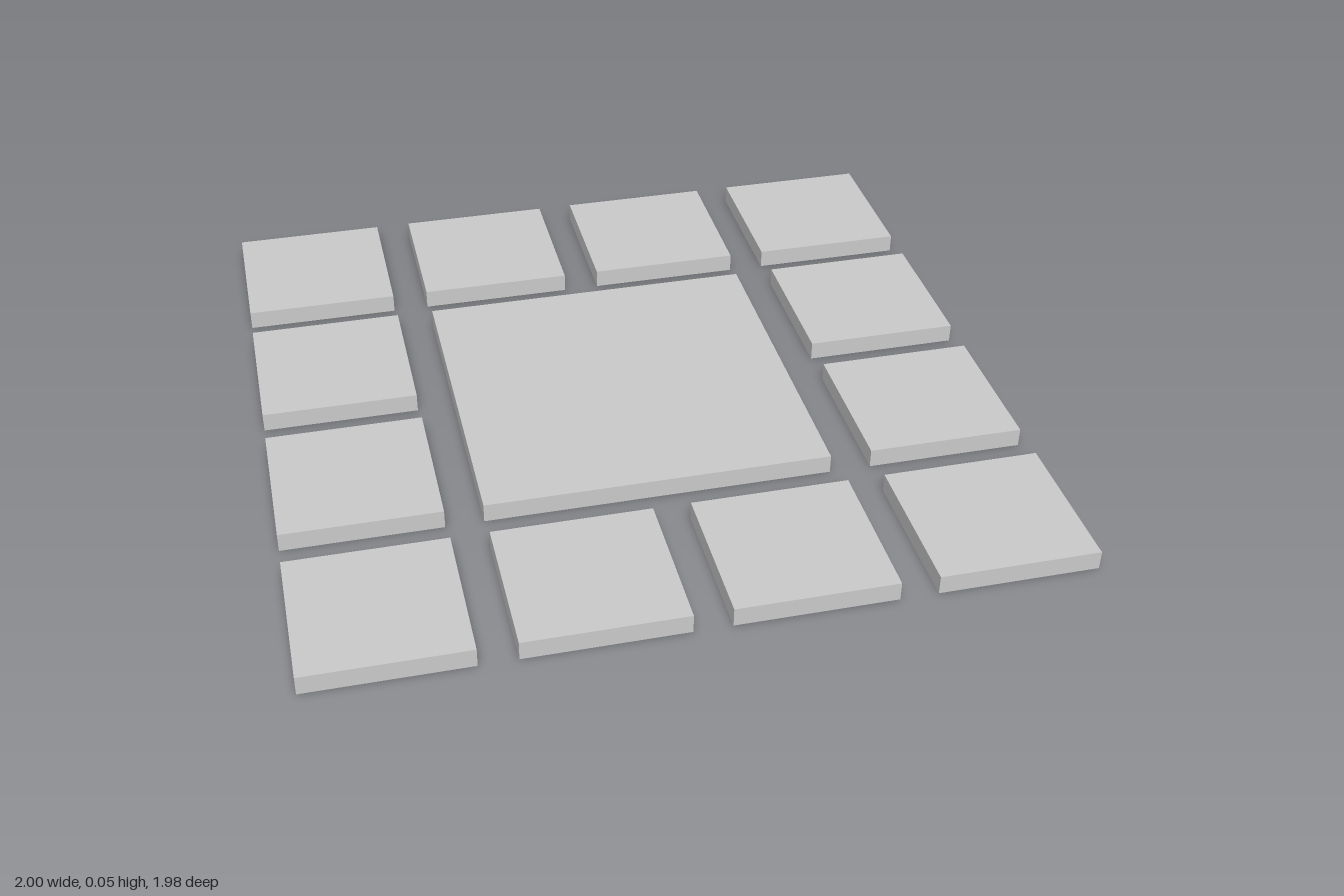
import * as THREE from 'three';

const HEIGHT = 0.052;

const material = new THREE.MeshStandardMaterial({
  color: 0xcccccc, flatShading: true, side: THREE.DoubleSide,
});

// Thin-walled tray turned upside down: a box without its bottom face
function makeTile(name, width, depth, x, z) {
  const geometry = new THREE.BoxGeometry(width, HEIGHT, depth);
  const index = Array.from(geometry.index.array);
  index.splice(18, 6); // the bottom is the fourth face of six indices
  geometry.setIndex(index);
  geometry.clearGroups();
  const tile = new THREE.Mesh(geometry, material);
  tile.name = name;
  tile.position.set(x, HEIGHT / 2, z);
  return tile;
}

export function createModel() {
  const model = new THREE.Group();
  model.name = 'tileSet';

  // Large middle tile
  model.add(makeTile('centerTile', 0.936, 0.936, -0.005, 0));

  // Ring of small tiles on the border of a 4 x 4 grid
  for (let row = 0; row < 4; row++) {
    for (let col = 0; col < 4; col++) {
      const inner = row > 0 && row < 3 && col > 0 && col < 3;
      if (inner) continue;
      const x = (col - 1.5) * 0.525;
      const z = (row - 1.5) * 0.522;
      model.add(makeTile(`borderTile_${row}_${col}`, 0.425, 0.416, x, z));
    }
  }
  return model;
}
